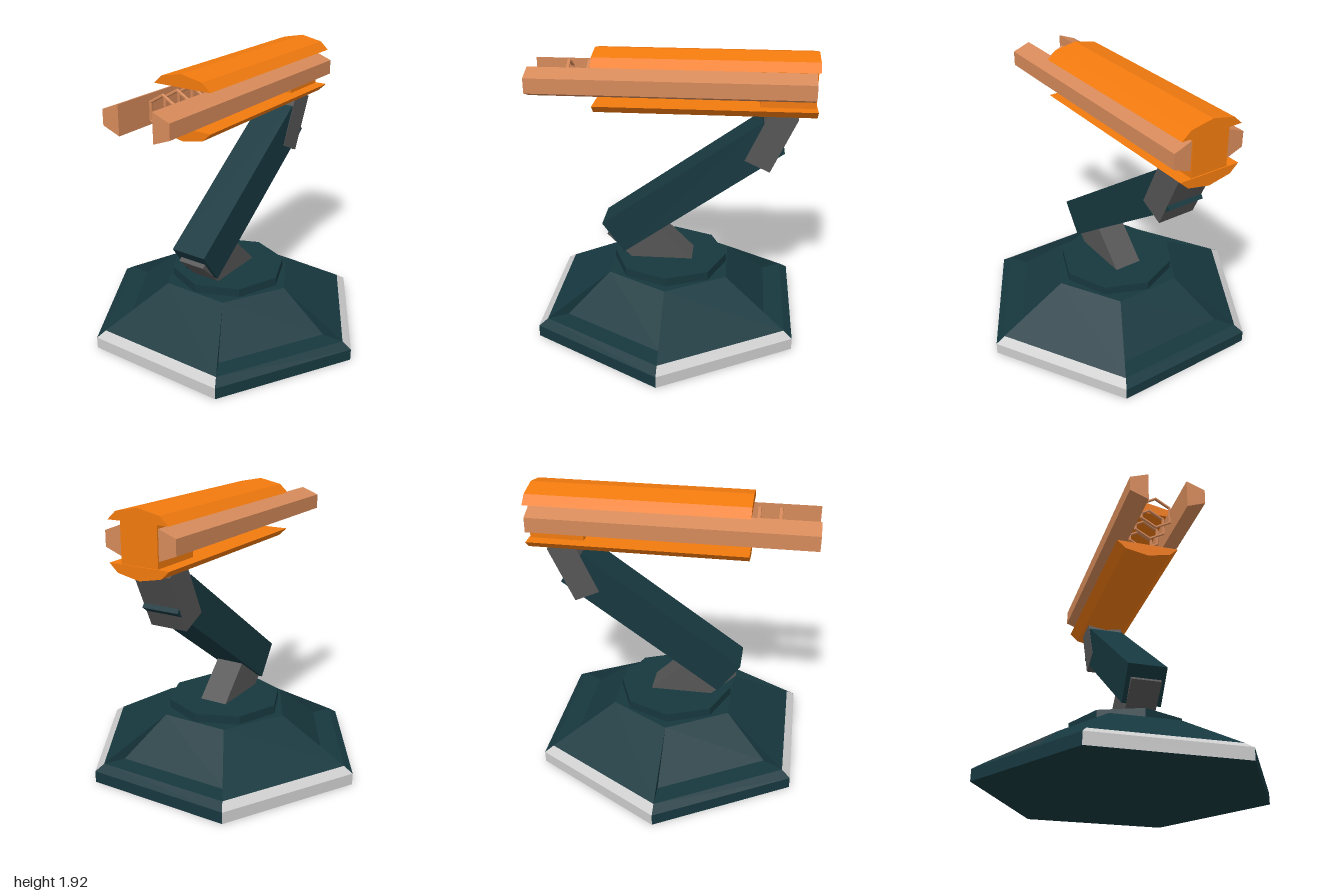
import * as THREE from 'three';

const mat = (color) => new THREE.MeshStandardMaterial({ color, flatShading: true, side: THREE.DoubleSide });
const rad = THREE.MathUtils.degToRad;

export function createModel() {
  const model = new THREE.Group();
  const teal = mat(0x17383f), trimGrey = mat(0xcccccc), darkGrey = mat(0x555555);
  const orange = mat(0xf27a0e), copper = mat(0xd68a5a);

  const add = (name, geometry, material, x = 0, y = 0, z = 0, parent = model) => {
    const mesh = new THREE.Mesh(geometry, material);
    mesh.name = name;
    mesh.position.set(x, y, z);
    parent.add(mesh);
    return mesh;
  };
  const points = (list) => list.map(([x, y]) => new THREE.Vector2(x, y));

  // Hexagonal base: raised panels with grey trim alternate with recessed panels
  const base = new THREE.Group();
  base.name = 'base';
  base.position.z = 0.02;
  model.add(base);
  const sector = (name, profile, material, i) =>
    add(name, new THREE.LatheGeometry(points(profile), 1, rad(i * 60 - 30), rad(60)), material, 0, 0, 0, base);
  const rim = [[1, 0], [1, 0.08], [0.935, 0.12]];
  for (let i = 0; i < 6; i++) {
    const raised = i % 2 === 0;
    sector('baseFloor', [[0, 0], [1, 0]], teal, i);
    sector(raised ? 'baseTrim' : 'baseRim', rim, raised ? trimGrey : teal, i);
    sector(raised ? 'raisedPanel' : 'recessedPanel',
      raised ? [[0.935, 0.12], [0.467, 0.38], [0, 0.38]]
        : [[0.935, 0.12], [0.785, 0.12], [0.467, 0.38], [0, 0.38]], teal, i);
    // Wall where a raised panel meets a recessed one
    const wall = new THREE.ShapeGeometry(new THREE.Shape(points([[0.785, 0.12], [0.935, 0.12], [0.467, 0.38]])));
    add('panelWall', wall.rotateY(rad(i * 60 + 30 - 90)), teal, 0, 0, 0, base);
  }
  add('turntable', new THREE.CylinderGeometry(0.4, 0.4, 0.06, 8), teal, 0, 0.41, 0, base);

  // Slanted arm with a bracket at each end
  const beam = (name, w, h, l, y, z, tilt, material) => {
    add(name, new THREE.BoxGeometry(w, h, l), material, 0, y, z).rotation.x = rad(tilt);
  };
  beam('lowerBracket', 0.2, 0.304, 0.6, 0.505, 0.14, -45, darkGrey);
  beam('arm', 0.26, 0.26, 1.335, 0.985, -0.13, 35.6, teal);
  beam('upperBracket', 0.265, 0.187, 0.41, 1.357, -0.656, 65.3, darkGrey);

  // Prism along z from an outline in x and y
  const prism = (name, outline, back, front, material) => {
    const geometry = new THREE.ExtrudeGeometry(new THREE.Shape(points(outline)),
      { depth: front - back, bevelEnabled: false });
    return add(name, geometry, material, 0, 0, back);
  };

  // Upper and lower shells, and side rails
  const midY = 1.709, railY = 1.718;
  for (const s of [1, -1]) {
    const shell = [[-0.214, 0.128], [0.214, 0.128], [0.155, 0.182], [0, 0.213], [-0.155, 0.182]];
    prism(s > 0 ? 'upperShell' : 'lowerShell', shell.map(([x, y]) => [x, midY + s * y]), -0.94, 0.515, orange);
    const rail = [[0.128, -0.096], [0.25, -0.05], [0.25, 0.05], [0.128, 0.096]];
    prism(s > 0 ? 'leftRail' : 'rightRail', rail.map(([x, y]) => [s * x, railY + y]), -0.922, 0.945, copper);
  }
  add('breechBlock', new THREE.BoxGeometry(0.26, 0.262, 0.36), orange, 0, midY, -0.752);

  // Row of hexagonal coils between the rails
  for (let i = 0; i < 9; i++) {
    const coil = new THREE.TorusGeometry(0.113, 0.011, 6, 6).rotateZ(rad(30));
    add('coil', coil, copper, 0, railY, 0.69 - i * 0.135);
  }
  return model;
}
